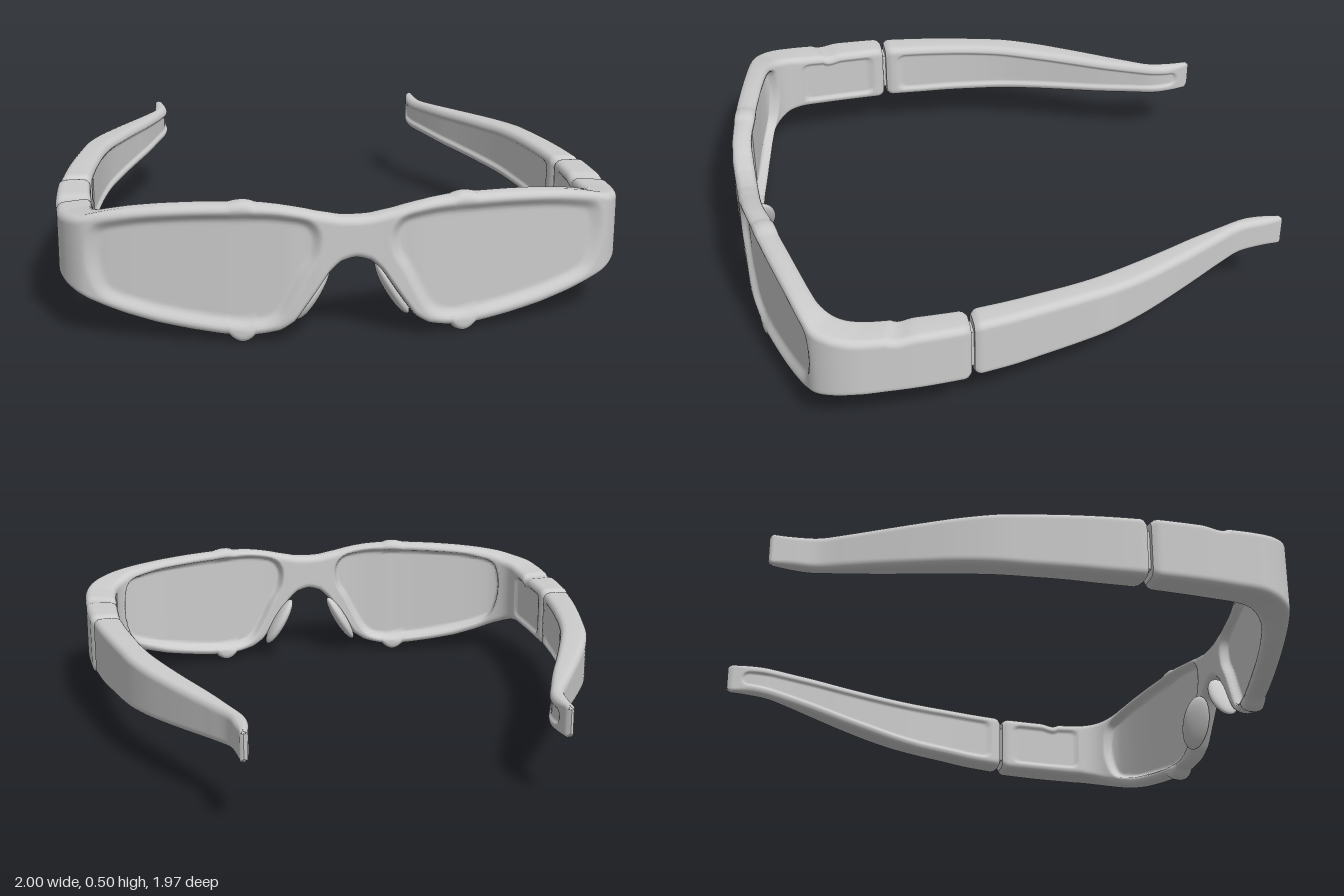
import * as THREE from 'three';

const material = new THREE.MeshStandardMaterial({ color: 0xcccccc, roughness: 0.6 });
const ROWS = 40; // rows on each face of a section

// Section knots: outer x, outer z, inner x, inner z, bottom, top (left half, from bridge to hinge)
const FRONT = [
  [0, .985, 0, .905, .275, .42], [.05, .985, .05, .905, .262, .422], [.09, .985, .09, .905, .225, .43],
  [.13, .985, .13, .905, .165, .438], [.17, .982, .17, .903, .105, .448], [.21, .98, .21, .9, .05, .456],
  [.26, .973, .26, .893, .018, .464], [.34, .96, .33, .878, .003, .47], [.43, .945, .42, .862, .003, .47],
  [.55, .92, .53, .838, .018, .466], [.67, .893, .64, .813, .04, .458], [.78, .867, .73, .79, .07, .446],
  [.86, .845, .79, .768, .098, .432], [.92, .82, .835, .73, .122, .415], [.965, .765, .858, .69, .14, .405],
  [.99, .69, .868, .63, .15, .395], [.997, .58, .872, .54, .15, .39], [1, .47, .874, .46, .15, .39],
  [.997, .37, .875, .37, .15, .39], [.992, .283, .875, .283, .15, .39],
];
const TEMPLE = [
  [.985, .27, .873, .27, .155, .39], [.965, .13, .857, .13, .158, .39], [.94, 0, .838, .01, .165, .39],
  [.914, -.12, .815, -.11, .17, .388], [.885, -.24, .785, -.22, .178, .385], [.835, -.37, .735, -.35, .188, .378],
  [.775, -.49, .68, -.48, .197, .371], [.71, -.61, .622, -.61, .207, .364], [.648, -.72, .575, -.73, .216, .358],
  [.597, -.82, .54, -.83, .222, .354], [.585, -.91, .535, -.89, .226, .352], [.578, -.99, .553, -.985, .23, .35],
];

const mirrorKnots = (knots) => knots.map(([ox, oz, ix, iz, b, t]) => [-ox, oz, -ix, iz, b, t]).reverse();
const smooth = (d, w) => THREE.MathUtils.smoothstep(d, 0, w);

// Lens opening (left side), as a closed smooth outline
const LENS = new THREE.CatmullRomCurve3([
  [.115, .37], [.15, .42], [.25, .445], [.4, .448], [.6, .44], [.78, .42], [.88, .39], [.905, .32], [.9, .22],
  [.86, .135], [.75, .09], [.6, .055], [.42, .03], [.31, .03], [.25, .06], [.205, .13], [.16, .22], [.12, .29],
].map(([x, y]) => new THREE.Vector3(x, y, 0)), true).getPoints(72);

// Distance inside the lens outline (negative outside)
function lensDepth(x, y) {
  let best = Infinity, inside = false;
  for (let i = 0; i < LENS.length - 1; i++) {
    const a = LENS[i], b = LENS[i + 1], dx = b.x - a.x, dy = b.y - a.y;
    const k = THREE.MathUtils.clamp(((x - a.x) * dx + (y - a.y) * dy) / (dx * dx + dy * dy || 1), 0, 1);
    best = Math.min(best, Math.hypot(x - a.x - k * dx, y - a.y - k * dy));
    if ((a.y > y) !== (b.y > y) && x < a.x + (y - a.y) / dy * dx) inside = !inside;
  }
  return inside ? best : -best;
}

// Shallow rounded panel on the inner face between two z positions
function panel(p, zMin, zMax) {
  const r = .06, dz = Math.min(p.z - zMin, zMax - p.z), dy = Math.min(p.y - p.b, p.t - p.y);
  const d = r - Math.hypot(Math.max(r - dz, 0), Math.max(r - dy, 0));
  return .01 * smooth(d - .028, .014);
}

function frontInset(p) {
  let inset = p.back ? panel(p, .3, .66) : 0;
  if (p.oz > .76) {
    const d = lensDepth(Math.abs(p.ox), p.y);
    inset += p.back ? .036 * smooth(d, .022) : .022 * smooth(d, .04);
    p.lens = d > .045;
  }
  return inset;
}
const templeInset = (p) => (p.back ? panel(p, -.96, .25) : 0);

// Sweeps a rounded rectangular section through the knots; inset() carves the two faces.
// Returns the body and, where marked, the lens faces.
function loft(knots, perSpan, radius, inset) {
  const curve = (f) => new THREE.CatmullRomCurve3(knots.map((k) => new THREE.Vector3(...f(k))));
  const outer = curve((k) => [k[0], 0, k[1]]);
  const inner = curve((k) => [k[2], 0, k[3]]);
  const heights = curve((k) => [k[4], k[5], 0]);
  // the two height values vary independently along the same knot parameter as the rails
  const n = (knots.length - 1) * perSpan, ring = 2 * (ROWS + 1);
  const pos = [], lensFlag = [], body = [], lens = [];
  for (let i = 0; i <= n; i++) {
    const o = outer.getPoint(i / n), q = inner.getPoint(i / n), h = heights.getPoint(i / n);
    const bevel = [.012, .003][Math.min(i, n - i)] ?? 0;
    const b = h.x + bevel, t = h.y - bevel;
    const dir = o.clone().sub(q), thick = dir.length();
    dir.normalize();
    const r = Math.min(radius, thick * .45);
    for (let j = 0; j < ring; j++) {
      const back = j > ROWS;
      const s = (back ? ring - 1 - j : j) / ROWS;
      const y = b + (t - b) * (.5 * s + .25 * (1 - Math.cos(Math.PI * s)));
      const e = Math.max(r - Math.min(y - b, t - y), 0);
      const round = r - Math.sqrt(Math.max(r * r - e * e, 0));
      const p = { back, y, b, t, ox: o.x, oz: o.z, z: back ? q.z : o.z, lens: false };
      const depth = round + bevel + inset(p);
      const v = (back ? q : o).clone().addScaledVector(dir, back ? depth : -depth);
      pos.push(v.x, y, v.z);
      lensFlag.push(p.lens);
    }
  }
  for (let i = 0; i < n; i++) {
    for (let j = 0; j < ring; j++) {
      const k = (j + 1) % ring;
      const a = i * ring + j, b = a + ring, c = (i + 1) * ring + k, d = i * ring + k;
      const target = lensFlag[a] && lensFlag[b] && lensFlag[c] && lensFlag[d] ? lens : body;
      target.push(a, b, c, a, c, d);
    }
  }
  // end caps, with their own vertices so the edge stays crisp
  for (const i of [0, n]) {
    const base = pos.length / 3;
    for (let j = 0; j < ring * 3; j++) pos.push(pos[i * ring * 3 + j]);
    for (let j = 0; j < ROWS; j++) {
      const a = base + j, b = a + 1, d = base + ring - 1 - j, c = d - 1;
      if (i === 0) body.push(a, b, c, a, c, d);
      else body.push(a, c, b, a, d, c);
    }
  }
  const geometry = new THREE.BufferGeometry();
  geometry.setAttribute('position', new THREE.Float32BufferAttribute(pos, 3));
  geometry.setIndex([...body, ...lens]);
  geometry.computeVertexNormals();
  return { body: geometry.clone().setIndex(body), lens: geometry.clone().setIndex(lens) };
}

export function createModel() {
  const group = new THREE.Group();
  const add = (name, geometry) => {
    const mesh = new THREE.Mesh(geometry, material);
    mesh.name = name;
    group.add(mesh);
    return mesh;
  };

  // Wraparound front with its short side pieces, and the lenses set into it
  const front = loft([...mirrorKnots(FRONT), ...FRONT.slice(1)], 7, .028, frontInset);
  add('frontFrame', front.body);
  add('lenses', front.lens);

  for (const [side, sign] of [['left', 1], ['right', -1]]) {
    // Temple arm, curving in towards the tip
    const knots = sign > 0 ? TEMPLE : mirrorKnots(TEMPLE);
    add(side + 'Temple', loft(knots, 12, .028, templeInset).body);

    // Hinge bridging the gap
    add(side + 'Hinge', new THREE.BoxGeometry(.06, .15, .05)).position.set(sign * .93, .27, .277);

    // Nose pad lying along the lower edge of the bridge
    const pad = add(side + 'NosePad', new THREE.SphereGeometry(1, 28, 20));
    pad.scale.set(.026, .112, .056);
    pad.rotation.z = sign * .53;
    pad.position.set(sign * .138, .136, .897);
  }
  return group;
}
